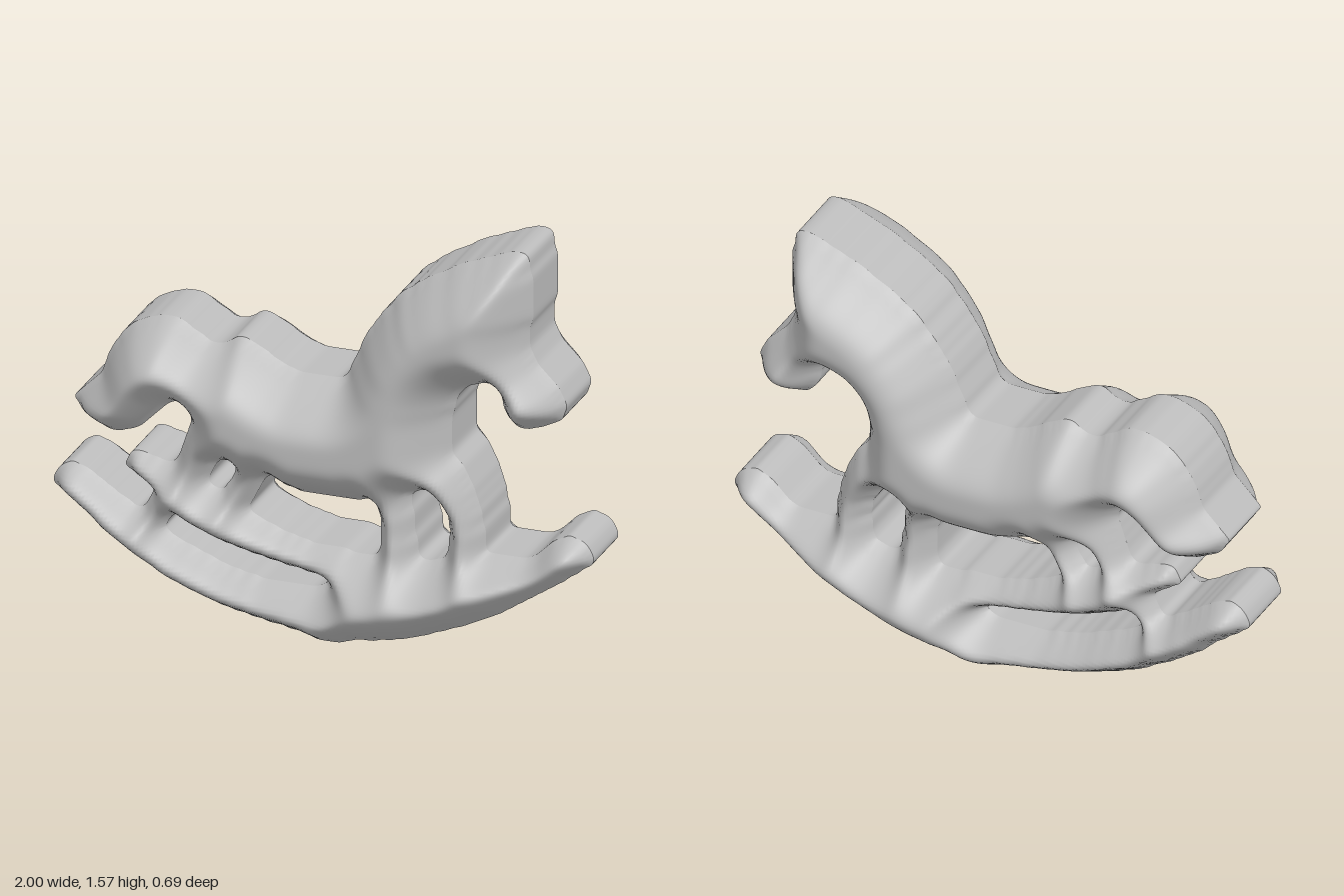
import * as THREE from 'three';

const CELL = 0.0125, NX = 166, NY = 130, X0 = -1.0375, Y0 = -0.025; // layout grid
const RIM = 0.12;   // half depth along the outline
const PUFF = 0.225; // extra half depth at the fullest places
const REACH = 0.19; // distance from the outline at which it is reached

// Outline between two splined edges; each station is [ax, ay, bx, by].
// first and last pick a run, so neighbouring parts share one flowing outline.
function ribbon(stations, first = 0, last = stations.length - 1) {
  const edge = (x, y) => {
    const curve = new THREE.SplineCurve(stations.map((s) => new THREE.Vector2(s[x], s[y])));
    const steps = (last - first) * 8;
    return Array.from({ length: steps + 1 },
      (_, i) => curve.getPoint((first + i / 8) / (stations.length - 1)));
  };
  return [...edge(0, 1), ...edge(2, 3).reverse()];
}

// Outline around a centre line of [x, y, halfWidth]
function limb(points) {
  return ribbon(points.map(([x, y, w], i) => {
    const p = points[Math.max(0, i - 1)], n = points[Math.min(points.length - 1, i + 1)];
    const len = Math.hypot(n[0] - p[0], n[1] - p[1]);
    const nx = -(n[1] - p[1]) / len * w, ny = (n[0] - p[0]) / len * w;
    return [x - nx, y - ny, x + nx, y + ny];
  }));
}

function contains(outline, x, y) {
  let inside = false;
  outline.forEach((p, i) => {
    const q = outline[(i + 1) % outline.length];
    if ((p.y > y) !== (q.y > y) && x < p.x + (q.x - p.x) * (y - p.y) / (q.y - p.y)) inside = !inside;
  });
  return inside;
}

// Horse from tail tip to nose: lower edge, upper edge
const HORSE = [
  // tail
  [-0.87, 0.715, -0.925, 0.78], [-0.79, 0.68, -0.86, 0.84], [-0.72, 0.685, -0.82, 0.89],
  [-0.66, 0.72, -0.78, 0.99], [-0.60, 0.78, -0.70, 1.09], [-0.55, 0.82, -0.57, 1.14],
  [-0.50, 0.79, -0.47, 1.10],
  // body with the raised back of the saddle
  [-0.47, 0.69, -0.39, 1.06], [-0.37, 0.625, -0.30, 1.10], [-0.24, 0.62, -0.21, 1.06],
  [-0.12, 0.56, -0.12, 1.01], [0.03, 0.555, -0.02, 1.0], [0.18, 0.56, 0.07, 1.0],
  [0.32, 0.61, 0.11, 1.07], [0.44, 0.65, 0.15, 1.16],
  // neck
  [0.475, 0.77, 0.19, 1.23], [0.475, 0.91, 0.24, 1.30], [0.51, 1.02, 0.33, 1.39],
  [0.57, 1.055, 0.46, 1.47],
  // head, pivoting round the throat to the ear, face and muzzle
  [0.61, 1.06, 0.60, 1.535], [0.635, 1.055, 0.75, 1.57], [0.65, 1.04, 0.77, 1.38],
  [0.66, 1.01, 0.77, 1.21], [0.68, 0.95, 0.84, 1.12], [0.73, 0.915, 0.895, 1.04],
  [0.80, 0.925, 0.885, 0.97],
];

// Parts in order of precedence where they overlap
const PARTS = {
  tail: ribbon(HORSE, 0, 6),
  body: ribbon(HORSE, 6, 14),
  neck: ribbon(HORSE, 14, 18),
  head: ribbon(HORSE, 18, 25),
  longRocker: ribbon([
    [-1.005, 0.45, -0.965, 0.525], [-0.91, 0.38, -0.89, 0.525], [-0.76, 0.26, -0.72, 0.42],
    [-0.54, 0.135, -0.52, 0.30], [-0.32, 0.065, -0.29, 0.215], [-0.10, 0.025, -0.09, 0.20],
    [0.02, -0.005, 0.01, 0.215], [0.12, 0.02, 0.10, 0.32], [0.25, 0.04, 0.22, 0.35],
    [0.42, 0.095, 0.38, 0.36], [0.62, 0.185, 0.60, 0.42], [0.80, 0.30, 0.76, 0.43],
    [0.93, 0.39, 0.88, 0.525], [1.005, 0.45, 0.965, 0.525],
  ]),
  shortRocker: ribbon([
    [-0.735, 0.55, -0.705, 0.615], [-0.64, 0.49, -0.62, 0.60], [-0.52, 0.38, -0.46, 0.55],
    [-0.34, 0.31, -0.28, 0.45], [-0.13, 0.265, -0.10, 0.38], [0.02, 0.235, 0.05, 0.36],
    [0.14, 0.17, 0.20, 0.35],
  ]),
  outerHindLeg: limb([
    [-0.39, 0.80, 0.11], [-0.42, 0.71, 0.08], [-0.465, 0.62, 0.065], [-0.50, 0.54, 0.065],
    [-0.565, 0.46, 0.055], [-0.615, 0.39, 0.05], [-0.67, 0.30, 0.06],
  ]),
  innerHindLeg: limb([
    [-0.23, 0.74, 0.09], [-0.25, 0.65, 0.07], [-0.28, 0.57, 0.052], [-0.315, 0.50, 0.052],
    [-0.36, 0.40, 0.06],
  ]),
  innerFrontLeg: limb([
    [0.20, 0.72, 0.09], [0.24, 0.62, 0.075], [0.27, 0.52, 0.065], [0.28, 0.42, 0.068],
    [0.28, 0.30, 0.09],
  ]),
  outerFrontLeg: limb([
    [0.39, 0.75, 0.09], [0.47, 0.66, 0.08], [0.52, 0.56, 0.065], [0.535, 0.45, 0.068],
    [0.52, 0.30, 0.09],
  ]),
};

// Puffs all outlines into one flowing shell and returns a geometry per part
function puff(parts) {
  const names = Object.keys(parts);
  const verts = new Map(); // grid corner -> vertex
  const cells = new Map(); // grid cell -> part name
  const key = (i, j) => j * (NX + 1) + i;
  for (let j = 0; j < NY; j++) {
    for (let i = 0; i < NX; i++) {
      const x = X0 + (i + 0.5) * CELL, y = Y0 + (j + 0.5) * CELL;
      const name = names.find((n) => contains(parts[n], x, y));
      if (name) cells.set(key(i, j), name);
    }
  }

  // Corners of each cell, and which of its sides lie on the outline
  const corner = (i, j) => {
    const k = key(i, j);
    if (!verts.has(k)) {
      verts.set(k, { id: verts.size, k, x: X0 + i * CELL, y: Y0 + j * CELL, z: RIM, rim: [] });
    }
    return verts.get(k);
  };
  const quads = [];
  for (const [k, name] of cells) {
    const i = k % (NX + 1), j = Math.floor(k / (NX + 1));
    const c = [corner(i, j), corner(i + 1, j), corner(i + 1, j + 1), corner(i, j + 1)];
    const open = [key(i, j - 1), key(i + 1, j), key(i, j + 1), key(i - 1, j)].map((n) => !cells.has(n));
    open.forEach((o, s) => {
      if (!o) return;
      c[s].rim.push(c[(s + 1) % 4]);
      c[(s + 1) % 4].rim.push(c[s]);
    });
    quads.push({ name, c, open });
  }

  // Smooth the outline, then raise the inside by its distance from it
  const all = [...verts.values()];
  const edge = all.filter((v) => v.rim.length), inner = all.filter((v) => !v.rim.length);
  const mean = (list, axis) => list.reduce((sum, v) => sum + v[axis], 0) / list.length;
  for (let pass = 0; pass < 4; pass++) {
    const moved = edge.map((v) => [(v.x + mean(v.rim, 'x')) / 2, (v.y + mean(v.rim, 'y')) / 2]);
    edge.forEach((v, n) => { [v.x, v.y] = moved[n]; });
  }
  for (const v of inner) {
    let d = REACH;
    for (const e of edge) d = Math.min(d, Math.hypot(e.x - v.x, e.y - v.y));
    v.z = RIM + PUFF * Math.sin((d / REACH) * Math.PI / 2);
  }
  for (let pass = 0; pass < 8; pass++) {
    const eased = inner.map((v) =>
      (v.z + mean([1, -1, NX + 1, -NX - 1].map((o) => verts.get(v.k + o)), 'z')) / 2);
    inner.forEach((v, n) => { v.z = eased[n]; });
  }

  // Front, back and rim faces; the rim has its own vertices for a crisp edge
  const V = all.length;
  const pos = [1, -1, 1, -1].flatMap((side) => all.flatMap((v) => [v.x, v.y, v.z * side]));
  const index = Object.fromEntries(names.map((n) => [n, []]));
  for (const { name, c, open } of quads) {
    const [p, q, r, s] = c.map((v) => v.id);
    index[name].push(p, q, r, p, r, s, p + V, r + V, q + V, p + V, s + V, r + V);
    open.forEach((o, n) => {
      if (!o) return;
      const a = c[n].id + 2 * V, b = c[(n + 1) % 4].id + 2 * V;
      index[name].push(a, a + V, b, b, a + V, b + V);
    });
  }
  const shell = new THREE.BufferGeometry();
  shell.setAttribute('position', new THREE.Float32BufferAttribute(pos, 3));
  shell.setIndex(names.flatMap((n) => index[n]));
  shell.computeVertexNormals();
  return names.map((n) => [n, shell.clone().setIndex(index[n]).toNonIndexed()]);
}

export function createModel() {
  const grey = new THREE.MeshStandardMaterial({ color: 0xbcbcbc });
  grey.name = 'plain grey';
  const group = new THREE.Group();
  group.name = 'rockingHorse';
  for (const [name, geometry] of puff(PARTS)) {
    const mesh = new THREE.Mesh(geometry, grey);
    mesh.name = name;
    group.add(mesh);
  }
  return group;
}
